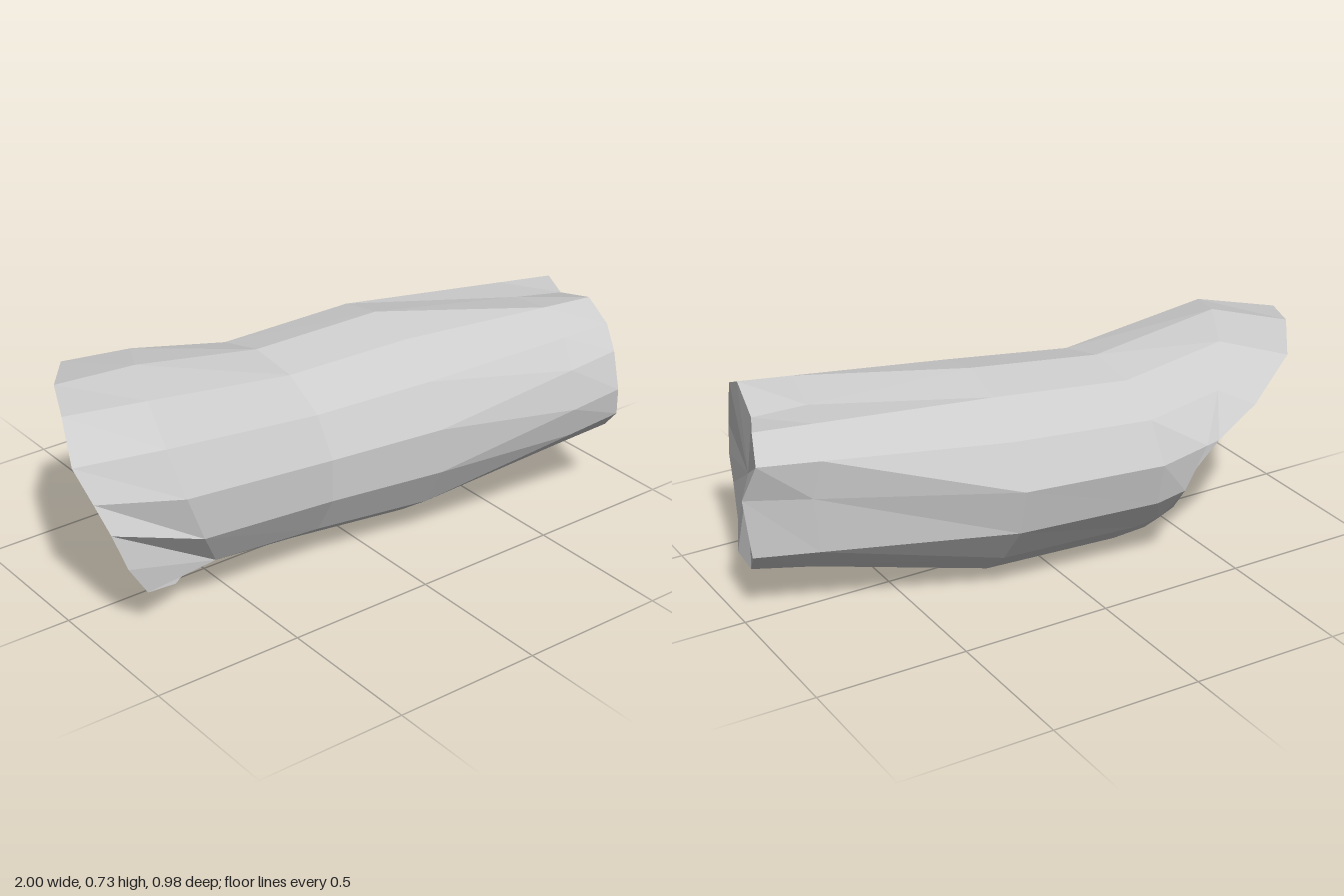
import * as THREE from 'three';

const SIDES = 14;

// Rims run from the top, over the front (+z), under the bottom and up the back.
const obliqueRim = [
  [-0.88, 0.69, -0.21], [-0.95, 0.67, -0.05], [-1, 0.57, 0.08], [-0.975, 0.47, 0.15],
  [-0.95, 0.38, 0.2], [-0.91, 0.26, 0.22], [-0.84, 0.15, 0.21], [-0.69, 0.085, 0.13],
  [-0.55, 0.025, -0.02], [-0.41, 0.15, -0.27], [-0.335, 0.35, -0.45], [-0.42, 0.48, -0.49],
  [-0.57, 0.56, -0.47], [-0.75, 0.66, -0.39],
];
const notchedRim = [
  [0.89, 0.63, 0.115], [0.86, 0.68, 0.28], [0.84, 0.63, 0.39], [0.82, 0.56, 0.45],
  [0.81, 0.44, 0.49], [0.82, 0.345, 0.48], [0.84, 0.27, 0.41], [0.89, 0.205, 0.27],
  [0.94, 0.16, 0.165], [0.95, 0.157, 0.045], [0.98, 0.245, -0.045], [1, 0.44, -0.035],
  [0.97, 0.565, -0.085], [0.94, 0.638, 0],
];

// Oval cross-section, leaned by tiltZ / tiltY and cut in at the lower back
function ovalRing(x, y, z, ry, rz, tiltZ, tiltY) {
  return Array.from({ length: SIDES }, (_, i) => {
    const a = (i / SIDES) * Math.PI * 2;
    const c = Math.cos(a), s = Math.sin(a);
    const cut = 0.14 * Math.max(0, -c) * Math.max(0, -s);
    return [x + tiltZ * s + tiltY * c, y + ry * c, z + rz * s + cut];
  });
}

const blend = (a, b, t) => a.map((p, i) => p.map((v, k) => v + (b[i][k] - v) * t));

function facetedMesh(name, triangles) {
  const geometry = new THREE.BufferGeometry();
  geometry.setAttribute('position', new THREE.Float32BufferAttribute(triangles.flat(), 3));
  geometry.computeVertexNormals();
  const mesh = new THREE.Mesh(geometry, new THREE.MeshStandardMaterial({ color: 0xcccccc, flatShading: true }));
  mesh.name = name;
  return mesh;
}

function skin(rings) {
  const tris = [];
  for (let j = 0; j < rings.length - 1; j++) {
    for (let i = 0; i < SIDES; i++) {
      const n = (i + 1) % SIDES;
      const a = rings[j][i], b = rings[j][n], c = rings[j + 1][n], d = rings[j + 1][i];
      tris.push(a, b, c, a, c, d);
    }
  }
  return tris;
}

function fan(rim, centre, flip) {
  return rim.flatMap((p, i) => {
    const q = rim[(i + 1) % SIDES];
    return flip ? [centre, q, p] : [centre, p, q];
  });
}

export function createModel() {
  const group = new THREE.Group();
  group.name = 'limbSegment';

  // Body: bulging end, waist, thick middle, taper to the notched end
  const middle = ovalRing(0.21, 0.35, -0.03, 0.345, 0.38, -0.02, 0);
  const rings = [
    obliqueRim,
    ovalRing(-0.53, 0.385, -0.1, 0.35, 0.385, -0.177, -0.13),
    ovalRing(-0.22, 0.34, -0.085, 0.325, 0.365, 0.03, 0),
    middle,
    blend(middle, notchedRim, 0.75),
    notchedRim,
  ];
  group.add(facetedMesh('body', skin(rings)));

  // End faces: one flat and oblique, one slightly sunken
  const mean = [0, 1, 2].map((k) => obliqueRim.reduce((sum, p) => sum + p[k], 0) / SIDES);
  group.add(facetedMesh('obliqueEnd', fan(obliqueRim, mean, true)));
  group.add(facetedMesh('notchedEnd', fan(notchedRim, [0.89, 0.42, 0.165], false)));
  return group;
}
